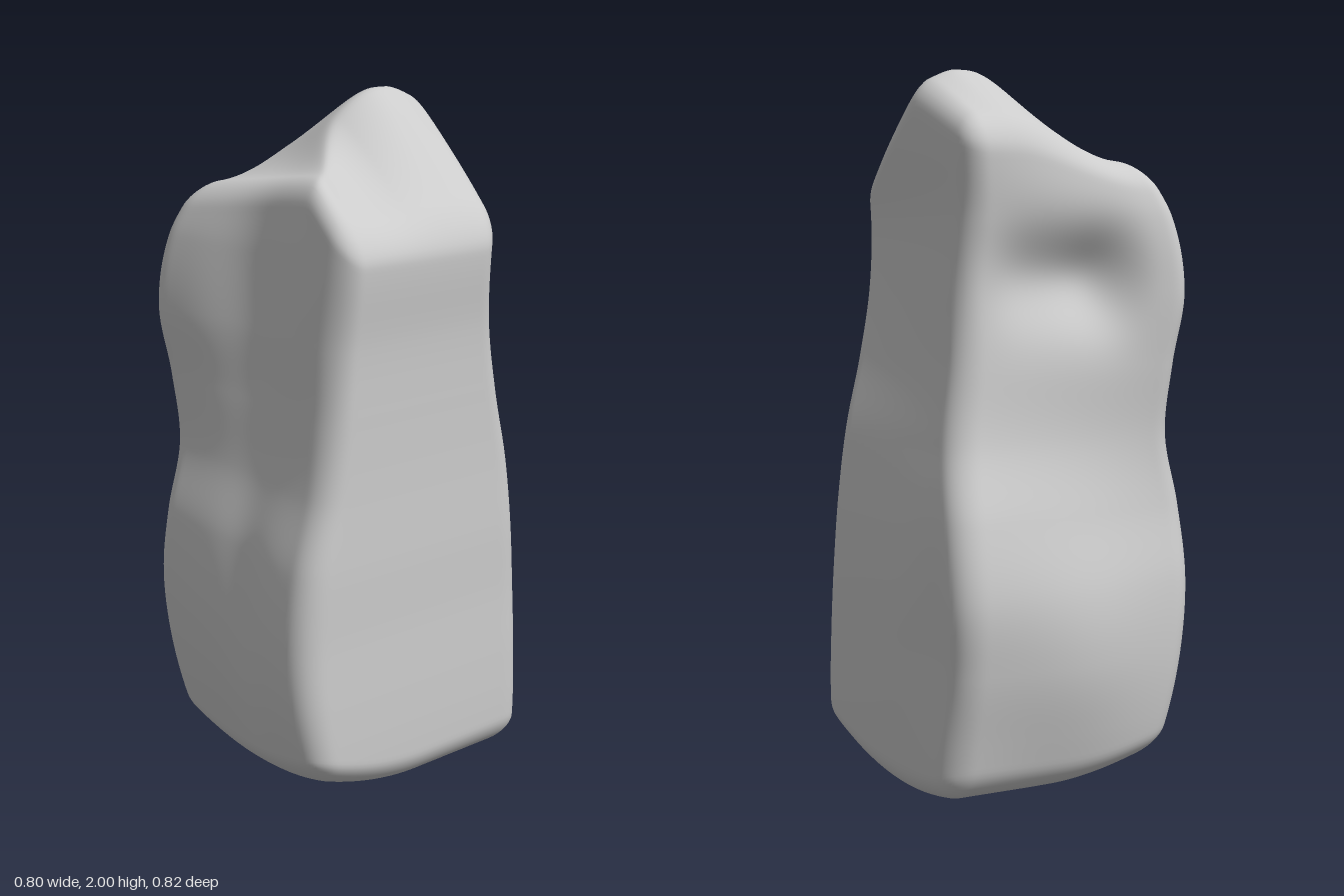
import * as THREE from 'three';
import { mergeVertices } from 'three/addons/utils/BufferGeometryUtils.js';

// Vertical edge of the stone: x and z at even height steps from y = 0 to y = 2
const edge = (xs, zs) => new THREE.CatmullRomCurve3(
  xs.map((x, i) => new THREE.Vector3(x, i * 0.2, zs[i])), false, 'catmullrom', 0.5);

const frontZ = [0.385, 0.395, 0.395, 0.39, 0.39, 0.385, 0.385, 0.39, 0.41, 0.41, 0.41];
const frontLeft = edge([0.40, 0.405, 0.40, 0.39, 0.37, 0.34, 0.29, 0.25, 0.232, 0.255, 0.27], frontZ);
const frontRight = edge([-0.30, -0.36, -0.40, -0.405, -0.38, -0.325, -0.295, -0.28, -0.27, -0.265, -0.265], frontZ);
const backRight = edge(
  [-0.28, -0.33, -0.365, -0.385, -0.38, -0.34, -0.35, -0.375, -0.345, -0.265, -0.26],
  [-0.35, -0.39, -0.405, -0.395, -0.36, -0.35, -0.37, -0.39, -0.365, -0.285, -0.28]);
const backLeft = edge(
  [0.35, 0.36, 0.365, 0.37, 0.355, 0.32, 0.29, 0.28, 0.275, 0.285, 0.28],
  [-0.25, -0.285, -0.325, -0.35, -0.32, -0.25, -0.225, -0.215, -0.24, -0.27, -0.27]);

const mix = THREE.MathUtils.lerp;
const smooth = THREE.MathUtils.smoothstep;
const bump = (a, b) => Math.exp(-a * a - b * b);

// Sloping top: a ridge highest on the left, bending forward as it drops to the right
function topHeight(u, w) {
  const ridge = mix(1.81, 2.0, smooth(u, -0.85, 0.4)) - 0.04 * smooth(u, 0.5, 1);
  const back = mix(1.74, 1.835, smooth(u, -0.8, 0.5));
  const at = mix(0.5, -0.1, smooth(u, -1, -0.1));
  const d = w - at;
  const k = Math.sqrt(d * d + 0.006) - 0.077; // softened ridge line
  return d > 0 ? mix(ridge, 1.67, k / (0.93 - at)) : mix(ridge, back, k / (0.93 + at));
}

// Shallow keel under the stone, lifting toward the front and right
function bottomHeight(u, w) {
  const d = w + 0.25, right = Math.max(0, -u) ** 2;
  return 0.08 * d * d + right * (0.09 + 0.02 * w);
}

export function createModel() {
  const group = new THREE.Group();
  const H = 2.6, R = 0.21;
  let geo = new THREE.BoxGeometry(2, 2 * H, 2, 56, 120, 56);
  geo.deleteAttribute('normal');
  geo.deleteAttribute('uv');
  geo = mergeVertices(geo);

  const pos = geo.attributes.position;
  const p = new THREE.Vector3(), inner = new THREE.Vector3();
  const lim = new THREE.Vector3(1 - R, H - R, 1 - R), neg = lim.clone().negate();
  for (let i = 0; i < pos.count; i++) {
    // Round the edges of the block
    p.fromBufferAttribute(pos, i);
    inner.copy(p).clamp(neg, lim);
    p.sub(inner).setLength(R).add(inner);

    // Fit it between the top, the bottom and the four edges
    const u = p.x, w = p.z;
    const y = mix(bottomHeight(u, w), topHeight(u, w), (p.y / H + 1) / 2);
    const t = THREE.MathUtils.clamp(y / 2, 0, 1);
    const fu = (u + 1) / 2, fw = (w + 1) / 2;
    const back = backRight.getPoint(t).lerp(backLeft.getPoint(t), fu);
    const front = frontRight.getPoint(t).lerp(frontLeft.getPoint(t), fu);
    let { x, z } = back.lerp(front, fw);

    // Steep-walled hollow in the back, above a gentle swelling
    const atBack = smooth(-w, 0.2, 0.9);
    const hollow = bump(((x - 0.01) / 0.2) ** 2, (y - 1.43) / 0.13);
    z = mix(z, Math.max(z, -0.2), 0.9 * atBack * hollow);
    z -= 0.045 * atBack * bump((x - 0.02) / 0.22, (y - 0.4) / 0.32);

    // Gentle hollows in the sides
    const atRight = smooth(-u, 0.2, 0.9);
    x += 0.035 * atRight * bump((z - 0.02) / 0.15, (y - 1.45) / 0.35);
    x += 0.02 * atRight * bump((z - 0.07) / 0.1, (y - 0.62) / 0.32);
    x -= 0.02 * smooth(u, 0.2, 0.9) * bump((z + 0.2) / 0.1, (y - 0.45) / 0.25);
    pos.setXYZ(i, x, y, z);
  }
  geo.computeVertexNormals();

  const stone = new THREE.Mesh(geo, new THREE.MeshStandardMaterial({ color: 0xcccccc }));
  stone.name = 'standingStone';
  group.add(stone);
  return group;
}
